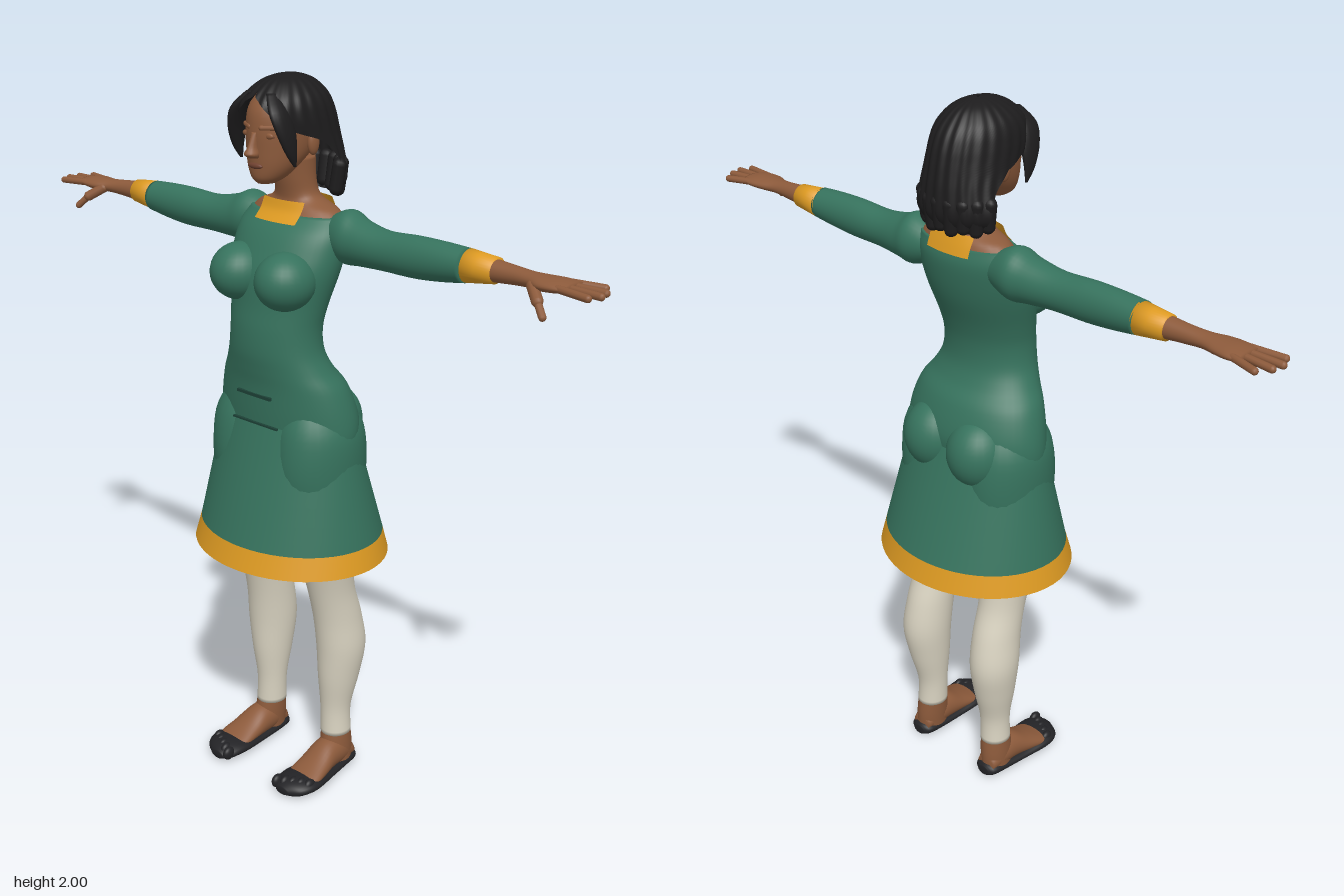
import * as THREE from 'three';
import { mergeVertices } from 'three/addons/utils/BufferGeometryUtils.js';

const paint = (name, color, side = THREE.FrontSide) => {
  const m = new THREE.MeshStandardMaterial({ color, side });
  m.name = name;
  return m;
};

// Smooths a list of sections with a Catmull-Rom rule on every number.
function refine(secs, k) {
  const out = [];
  for (let i = 0; i < secs.length - 1; i++) {
    const p = [-1, 0, 1, 2].map(d => secs[Math.min(secs.length - 1, Math.max(0, i + d))]);
    for (let s = 0; s < k; s++) {
      const t = s / k;
      out.push(p[1].map((b, n) => {
        const a = p[0][n], c = p[2][n], d = p[3][n];
        return 0.5 * (2 * b + (c - a) * t + (2 * a - 5 * b + 4 * c - d) * t * t + (3 * b - a - 3 * c + d) * t * t * t);
      }));
    }
  }
  out.push(secs[secs.length - 1]);
  return out;
}

// Skins oval sections [y, half width, front z, back z, centre x, half opening angle].
function loft(sections, { seg = 32, steps = 5, mid = Math.PI, caps = true, ridge = 0 } = {}) {
  const rows = refine(sections.map(s => [s[0], s[1], s[2], s[3], s[4] ?? 0, s[5] ?? 0]), steps);
  const pos = [], idx = [], w = seg + 1;
  for (const [y, rx, zf, zb, cx, open] of rows) {
    for (let j = 0; j <= seg; j++) {
      const a = mid + (j / seg * 2 - 1) * (Math.PI - Math.max(0, open));
      const r = 1 + ridge * Math.sin(a * 22);
      pos.push(cx + rx * r * Math.sin(a), y, (zf + zb) / 2 + (zf - zb) / 2 * r * Math.cos(a));
    }
  }
  for (let i = 0; i < rows.length - 1; i++) for (let j = 0; j < seg; j++) {
    const a = i * w + j, b = a + w;
    idx.push(a, a + 1, b + 1, a, b + 1, b);
  }
  if (caps) [0, rows.length - 1].forEach((i, top) => {
    const c = pos.length / 3, [y, , zf, zb, cx] = rows[i];
    pos.push(cx, y, (zf + zb) / 2);
    for (let j = 0; j < seg; j++) {
      const a = i * w + j;
      idx.push(c, top ? a : a + 1, top ? a + 1 : a);
    }
  });
  let g = new THREE.BufferGeometry();
  g.setAttribute('position', new THREE.Float32BufferAttribute(pos, 3));
  g.setIndex(idx);
  g = mergeVertices(g, 1e-5);
  g.computeVertexNormals();
  return g;
}

const ball = (x, y, z, rx, ry, rz) => new THREE.SphereGeometry(1, 28, 20).scale(rx, ry, rz).translate(x, y, z);

// Rounded rod between two points.
function rod(a, b, r) {
  const p = new THREE.Vector3(...a), q = new THREE.Vector3(...b), d = q.clone().sub(p);
  const turn = new THREE.Quaternion().setFromUnitVectors(new THREE.Vector3(0, 1, 0), d.clone().normalize());
  return new THREE.CapsuleGeometry(r, d.length(), 5, 10).applyQuaternion(turn).translate(...p.add(q).multiplyScalar(0.5).toArray());
}

function mirrored(g) {
  const m = g.clone().scale(-1, 1, 1), ix = m.index.array;
  for (let i = 0; i < ix.length; i += 3) [ix[i], ix[i + 1]] = [ix[i + 1], ix[i]];
  return m;
}

export function createModel() {
  const model = new THREE.Group();
  model.name = 'woman';
  const green = paint('dress green', 0x36725d), greenOpen = paint('skirt green', 0x36725d, THREE.DoubleSide);
  const gold = paint('trim gold', 0xdd9a22, THREE.DoubleSide), skin = paint('skin brown', 0x8c5a3b);
  const lip = paint('lip brown', 0x6f4130), cream = paint('legging cream', 0xd9d3c1);
  const hairMat = paint('hair black', 0x1d1c1d, THREE.DoubleSide), shoeMat = paint('shoe black', 0x232326);
  const seam = paint('seam dark green', 0x1d4136);

  const add = (name, geo, mat) => {
    const m = new THREE.Mesh(geo, mat);
    m.name = name;
    model.add(m);
  };
  const pair = (name, geo, mat) => {
    add('left ' + name, geo, mat);
    add('right ' + name, mirrored(geo), mat);
  };

  // Dress body
  add('bodice', loft([
    [0.95, 0.2, 0.11, -0.11], [1.05, 0.222, 0.13, -0.12], [1.12, 0.22, 0.137, -0.125], [1.2, 0.197, 0.142, -0.1],
    [1.25, 0.165, 0.15, -0.066], [1.3, 0.143, 0.157, -0.047], [1.36, 0.137, 0.156, -0.046], [1.42, 0.145, 0.148, -0.06],
    [1.5, 0.163, 0.14, -0.09], [1.56, 0.17, 0.115, -0.105], [1.61, 0.168, 0.085, -0.11], [1.648, 0.15, 0.045, -0.1]], { seg: 48 }), green);
  pair('bust', ball(0.08, 1.495, 0.105, 0.078, 0.076, 0.085), green);
  pair('seat', ball(0.079, 1.075, -0.07, 0.088, 0.1, 0.092), green);
  pair('thigh', loft([[0.7, 0.079, 0.08, -0.087, 0.128], [0.8, 0.092, 0.11, -0.1, 0.122],
    [0.95, 0.112, 0.145, -0.13, 0.116], [1.08, 0.108, 0.135, -0.12, 0.115], [1.16, 0.07, 0.1, -0.08, 0.11]]), green);
  add('skirt', loft([[0.772, 0.274, 0.226, -0.228], [1.0, 0.229, 0.163, -0.15], [1.15, 0.2, 0.122, -0.1]],
    { seg: 56, caps: false }), greenOpen);
  add('skirt hem', loft([[0.71, 0.29, 0.245, -0.245], [0.772, 0.274, 0.226, -0.228]], { seg: 56, steps: 1, caps: false }), gold);
  add('waist seam', new THREE.BoxGeometry(0.12, 0.008, 0.008).translate(0, 1.18, 0.141), seam);
  add('lower seam', new THREE.BoxGeometry(0.16, 0.005, 0.008).translate(0, 1.1, 0.138), seam);

  // Shoulders, neck and collar
  add('neck', loft([[1.64, 0.15, 0.046, -0.1], [1.662, 0.125, 0.034, -0.093], [1.68, 0.08, 0.028, -0.083],
    [1.7, 0.06, 0.03, -0.075], [1.74, 0.054, 0.04, -0.07], [1.79, 0.053, 0.05, -0.07]]), skin);
  const collar = [[1.63, 0.17, 0.07, -0.112], [1.655, 0.142, 0.048, -0.104], [1.682, 0.115, 0.038, -0.094]]
    .map(s => [...s, 0, Math.PI - Math.asin(0.07 / s[1])]);
  add('front collar', loft(collar, { seg: 12, mid: 0, caps: false }), gold);
  add('back collar', loft(collar, { seg: 12, caps: false }), gold);

  // Arms, lofted outward: [x, half height, front z, back z, -height]
  const arm = (secs, opts) => loft(secs, opts).rotateZ(-Math.PI / 2);
  pair('sleeve', arm([[0.11, 0.045, 0.01, -0.08, -1.6], [0.17, 0.07, 0.028, -0.097, -1.602], [0.22, 0.06, 0.027, -0.087, -1.595],
    [0.3, 0.051, 0.023, -0.073, -1.59], [0.4, 0.053, 0.022, -0.07, -1.592], [0.48, 0.049, 0.02, -0.07, -1.595],
    [0.55, 0.042, 0.016, -0.07, -1.598]]), green);
  pair('cuff', arm([[0.545, 0.042, 0.012, -0.07, -1.598], [0.63, 0.032, 0.002, -0.064, -1.6]], { steps: 2 }), gold);
  pair('forearm and palm', arm([[0.61, 0.029, 0, -0.06, -1.6], [0.68, 0.023, -0.004, -0.053, -1.6], [0.73, 0.019, 0.002, -0.053, -1.6],
    [0.77, 0.018, 0.017, -0.064, -1.6], [0.81, 0.016, 0.019, -0.072, -1.601], [0.845, 0.01, 0.014, -0.07, -1.602]]), skin);
  [[0.892, -0.08, -0.06], [0.915, -0.046, -0.038], [0.922, -0.014, -0.016], [0.908, 0.018, 0.006]].forEach(([x, z, z0], i) =>
    pair('finger ' + (i + 1), rod([0.82, 1.602, z0], [x, 1.599, z], 0.0095), skin));
  pair('thumb base', rod([0.75, 1.595, 0], [0.785, 1.57, 0.028], 0.014), skin);
  pair('thumb', rod([0.785, 1.57, 0.028], [0.812, 1.542, 0.045], 0.0095), skin);

  // Legs and feet
  pair('legging', loft([[0.115, 0.043, -0.008, -0.1, 0.13], [0.2, 0.043, -0.008, -0.1, 0.128], [0.3, 0.056, 0.003, -0.125, 0.132],
    [0.4, 0.066, 0.01, -0.142, 0.135], [0.5, 0.064, 0.022, -0.127, 0.131], [0.6, 0.064, 0.045, -0.097, 0.128],
    [0.715, 0.077, 0.079, -0.085, 0.128]]), cream);
  pair('ankle', loft([[0.02, 0.04, 0, -0.103, 0.135], [0.07, 0.042, 0, -0.104, 0.133], [0.125, 0.041, -0.01, -0.098, 0.13]]), skin);
  // Feet are lofted forward: [z, half width, -low y, -high y, x]
  const foot = secs => loft(secs).rotateX(Math.PI / 2);
  pair('foot', foot([[-0.1, 0.03, -0.01, -0.06, 0.135], [-0.05, 0.042, -0.01, -0.1, 0.135], [0, 0.045, -0.01, -0.1, 0.136],
    [0.05, 0.05, -0.01, -0.073, 0.14], [0.1, 0.053, -0.01, -0.049, 0.143], [0.14, 0.04, -0.01, -0.035, 0.143]]), skin);
  pair('shoe', foot([[-0.112, 0.02, -0.003, -0.03, 0.135], [-0.095, 0.038, 0, -0.04, 0.135], [-0.04, 0.046, 0, -0.036, 0.136],
    [0.03, 0.054, 0, -0.036, 0.139], [0.09, 0.063, 0, -0.044, 0.142], [0.13, 0.061, 0, -0.046, 0.142],
    [0.16, 0.048, 0, -0.04, 0.138], [0.18, 0.022, -0.006, -0.028, 0.132]]), shoeMat);
  for (let i = 0; i < 5; i++)
    pair('toe ' + (i + 1), ball(0.1 + i * 0.021, 0.028, 0.163 - i * 0.011, 0.013, 0.02, 0.02), shoeMat);

  // Head and face
  add('head', loft([[1.735, 0.022, 0.115, 0.06], [1.75, 0.043, 0.127, 0.03], [1.78, 0.064, 0.131, -0.01], [1.82, 0.078, 0.133, -0.06],
    [1.87, 0.084, 0.134, -0.09], [1.92, 0.082, 0.125, -0.1], [1.96, 0.062, 0.09, -0.075], [1.978, 0.03, 0.045, -0.03]]), skin);
  add('nose', loft([[1.803, 0.014, 0.148, 0.12], [1.813, 0.018, 0.163, 0.12], [1.83, 0.011, 0.153, 0.12],
    [1.865, 0.008, 0.138, 0.12]], { seg: 16 }), skin);
  pair('brow', rod([0.02, 1.877, 0.127], [0.052, 1.878, 0.108], 0.007), skin);
  pair('eyelid', ball(0.036, 1.858, 0.119, 0.016, 0.008, 0.006), skin);
  pair('eye line', rod([0.024, 1.854, 0.1255], [0.048, 1.855, 0.112], 0.0025), lip);
  add('lips', ball(0, 1.782, 0.129, 0.024, 0.008, 0.008), lip);
  pair('ear', ball(0.086, 1.835, 0.01, 0.012, 0.032, 0.018), skin);

  // Hair: a ridged shell that opens round the face, with locks at the front
  add('hair', loft([[1.69, 0.095, 0.06, -0.115, 0, 2.1], [1.72, 0.122, 0.07, -0.138, 0, 2], [1.75, 0.127, 0.08, -0.148, 0, 1.9],
    [1.8, 0.116, 0.1, -0.146, 0, 1.75], [1.84, 0.11, 0.125, -0.14, 0, 1.5], [1.87, 0.107, 0.142, -0.134, 0, 0.95],
    [1.9, 0.104, 0.15, -0.126, 0, 0.62], [1.93, 0.098, 0.146, -0.113, 0, 0.35], [1.955, 0.085, 0.127, -0.094, 0, 0.03],
    [1.98, 0.058, 0.092, -0.064, 0, 0], [1.993, 0.03, 0.055, -0.03, 0, 0], [1.998, 0.004, 0.014, 0.004, 0, 0]],
  { seg: 132, steps: 5, caps: false, ridge: 0.018 }), hairMat);
  pair('front lock', loft([[1.785, 0.003, 0.088, 0.08, 0.093], [1.82, 0.009, 0.115, 0.078, 0.092], [1.87, 0.014, 0.138, 0.075, 0.084],
    [1.92, 0.017, 0.145, 0.08, 0.066], [1.96, 0.012, 0.122, 0.08, 0.035]], { seg: 16 }), hairMat);
  for (let i = 0; i < 9; i++) {
    const a = Math.PI + (i - 4) * 0.3, p = r => [0.118 * r * Math.sin(a), -0.025 + 0.112 * r * Math.cos(a)];
    const [x0, z0] = p(0.98), [x1, z1] = p(0.9);
    add('hair tip ' + (i + 1), rod([x0, 1.77, z0], [x1, 1.71 - 0.008 * (i % 2), z1], 0.018), hairMat);
  }
  return model;
}
